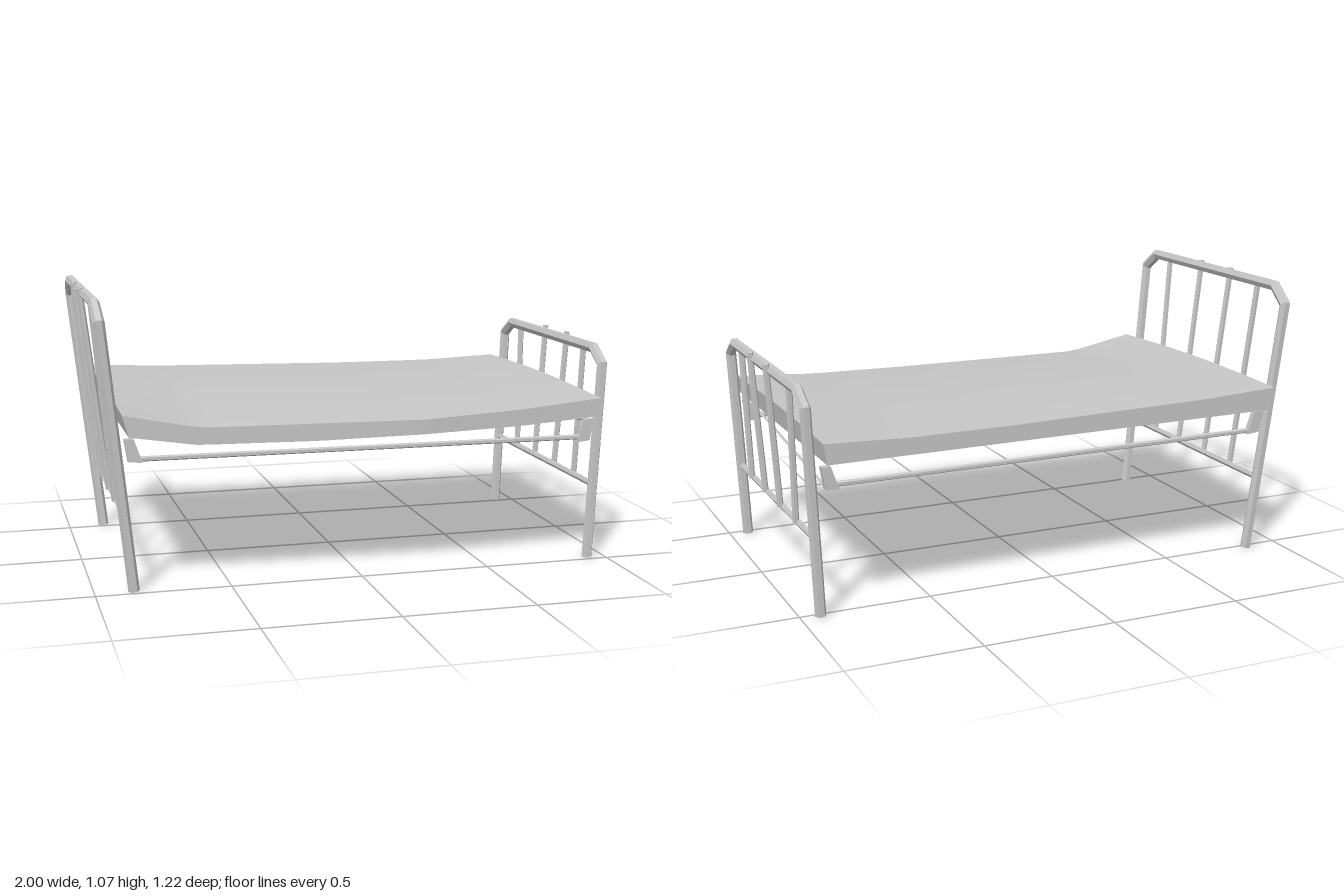
import * as THREE from 'three';

const V = (x, y, z) => new THREE.Vector3(x, y, z);
const lerp = THREE.MathUtils.lerp;

// piecewise-linear profile lookup
function along(points, x) {
  let i = 0;
  while (i < points.length - 2 && x > points[i + 1][0]) i++;
  const [a, b] = [points[i], points[i + 1]];
  return lerp(a[1], b[1], (x - a[0]) / (b[0] - a[0]));
}

// flat-faced tube along a planar path with mitred corners
function pipe(path, normal, radius, sides = 6) {
  const pos = [];
  const dirs = path.slice(1).map((p, i) => p.clone().sub(path[i]).normalize());
  const rings = path.map((p, i) => {
    const a = dirs[Math.max(i - 1, 0)], b = dirs[Math.min(i, dirs.length - 1)];
    const t = a.clone().add(b).normalize();
    const side = normal.clone().cross(t).normalize();
    const n = t.clone().cross(side);
    const stretch = 1 / t.dot(a);
    return Array.from({ length: sides }, (_, j) => {
      const w = (j / sides) * Math.PI * 2;
      return p.clone().addScaledVector(n, Math.cos(w) * radius)
        .addScaledVector(side, Math.sin(w) * radius * stretch);
    });
  });
  const tri = (...c) => c.forEach((v) => pos.push(v.x, v.y, v.z));
  const last = path.length - 1;
  for (let j = 0; j < sides; j++) {
    const k = (j + 1) % sides;
    for (let i = 0; i < last; i++) {
      const [A, B] = [rings[i], rings[i + 1]];
      tri(A[j], B[j], A[k]);
      tri(A[k], B[j], B[k]);
    }
    tri(path[0], rings[0][j], rings[0][k]);
    tri(path[last], rings[last][k], rings[last][j]);
  }
  const g = new THREE.BufferGeometry();
  g.setAttribute('position', new THREE.Float32BufferAttribute(pos, 3));
  g.computeVertexNormals();
  return g;
}

export function createModel() {
  const model = new THREE.Group();
  const grey = new THREE.MeshStandardMaterial({ color: 0xc6c6c6 });
  grey.name = 'grey';
  const add = (parent, name, geometry) => {
    const m = new THREE.Mesh(geometry, grey);
    m.name = name;
    parent.add(m);
  };
  const bar = (parent, name, a, b, r, sides = 6) => {
    const d = b.clone().sub(a).normalize();
    const n = Math.abs(d.x) > 0.8 ? V(0, 1, 0) : V(1, 0, 0);
    add(parent, name, pipe([a, b], n, r, sides));
  };

  // end frames: bent leg tube, low rail and four fanned spindles
  const ends = [
    { name: 'headboard', foot: -0.857, top: -0.969, h: 1.05, shoulder: 0.99, zf: 0.512, zb: -0.563,
      spindleFoot: -0.895, spindleTop: -0.988, reach: 1.07, fan: [0.318, 0.09, -0.135, -0.365] },
    { name: 'footboard', foot: 0.927, top: 0.966, h: 0.818, shoulder: 0.766, zf: 0.479, zb: -0.533,
      spindleFoot: 0.95, spindleTop: 0.988, reach: 0.843, fan: [0.3, 0.088, -0.133, -0.352] },
  ];
  for (const e of ends) {
    const group = new THREE.Group();
    group.name = e.name;
    model.add(group);
    const P = (y, z) => V(lerp(e.foot, e.top, y / e.h), y, z);
    const path = [P(0, 0.473), P(e.shoulder, e.zf), P(e.h, e.zf - 0.08),
      P(e.h, e.zb + 0.08), P(e.shoulder, e.zb), P(0, -0.52)];
    const normal = V(e.h, e.foot - e.top, 0).normalize();
    add(group, 'legAndTopRail', pipe(path, normal, 0.021));
    bar(group, 'lowRail', P(0.293, 0.485), P(0.293, -0.527), 0.012);
    [0.278, 0.08, -0.125, -0.325].forEach((z, i) => {
      const inner = i === 1 || i === 2;
      const top = inner ? V(e.spindleTop, e.reach, e.fan[i]) : P(e.h, e.fan[i]);
      bar(group, 'spindle', V(e.spindleFoot, 0.293, z), top, 0.0125);
    });
  }

  // mattress: a gently crowned slab sagging along its front edge
  const frontEdge = [[-0.9, 0.57], [-0.6, 0.576], [0.2, 0.61], [0.65, 0.575], [0.925, 0.56]];
  const topBack = [[-0.9, 0.677], [-0.6, 0.661], [0.2, 0.645], [0.6, 0.643], [0.925, 0.655]];
  const topFront = [[-0.9, 0.668], [-0.62, 0.612], [0.2, 0.608], [0.6, 0.622], [0.925, 0.648]];
  const lowFront = [[-0.9, 0.592], [-0.63, 0.55], [-0.2, 0.546], [0.6, 0.56], [0.925, 0.578]];
  const slab = new THREE.BoxGeometry(1, 1, 1, 30, 1, 16);
  const p = slab.attributes.position;
  for (let i = 0; i < p.count; i++) {
    const u = p.getX(i) + 0.5, v = p.getZ(i) + 0.5, isTop = p.getY(i) > 0;
    const x = isTop ? lerp(-0.897, 0.925, u) : lerp(-0.875, 0.912, u);
    const z = lerp(lerp(-0.615, -0.605, u), along(frontEdge, x), v);
    const back = isTop ? along(topBack, x) : lerp(0.59, 0.578, u);
    const front = along(isTop ? topFront : lowFront, x);
    const crown = isTop ? 0.01 * Math.sin(v * Math.PI) : 0;
    p.setXYZ(i, x, lerp(back, front, Math.pow(v, 2.2)) + crown, z);
  }
  slab.computeVertexNormals();
  add(model, 'mattress', slab);

  // side rails with a tapered bracket at each end
  const bracketOutline = [[-0.885, 0.57], [-0.85, 0.57], [-0.82, 0.482], [-0.872, 0.488]];
  for (const z of [0.5, -0.545]) {
    bar(model, 'sideRail', V(-0.85, 0.495, z), V(0.89, 0.489, z), 0.01);
    for (const s of [1, -1]) {
      const pts = bracketOutline.map(([x, y]) => new THREE.Vector2(
        s > 0 ? x : -x + 0.035, s > 0 ? y : y - 0.012));
      const g = new THREE.ExtrudeGeometry(new THREE.Shape(pts), { depth: 0.024, bevelEnabled: false });
      g.translate(0, 0, z - 0.012);
      add(model, 'railBracket', g);
    }
  }

  // sloping cross brace below the foot end
  bar(model, 'crossBrace', V(0.89, 0.555, 0.5), V(0.89, 0.467, -0.535), 0.006, 4);
  return model;
}
